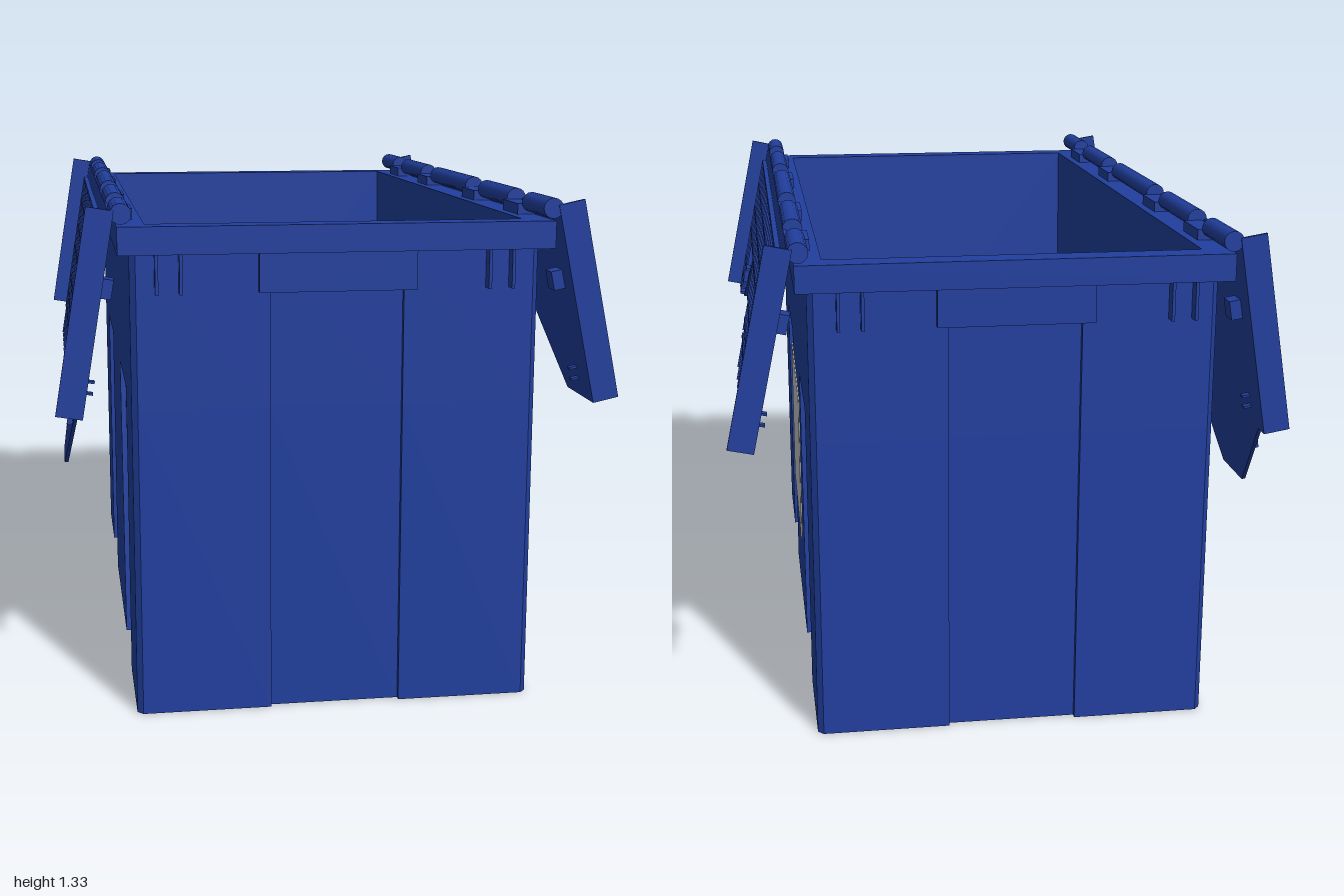
import * as THREE from 'three';

const blue = new THREE.MeshStandardMaterial({ color: 0x213f9e });
blue.name = 'blue plastic';
const grey = new THREE.MeshStandardMaterial({ color: 0xc8c8c8, side: THREE.DoubleSide });
grey.name = 'grey label';

const CX = -0.01; // body is slightly off centre

function add(parent, name, geo, x = 0, y = 0, z = 0, mat = blue) {
  const m = new THREE.Mesh(geo, mat);
  m.name = name;
  m.position.set(x, y, z);
  parent.add(m);
  return m;
}
const box = (w, h, d) => new THREE.BoxGeometry(w, h, d);
const shapeOf = pts => new THREE.Shape(pts.map(p => new THREE.Vector2(...p)));
const rectHole = (w, d) => new THREE.Path([[-w, -d], [-w, d], [w, d], [w, -d]].map(p => new THREE.Vector2(...p)));
const extrude = (shape, depth) => new THREE.ExtrudeGeometry(shape, { depth, bevelEnabled: false });
// plan shape raised along y
const raise = (shape, h) => extrude(shape, h).rotateX(-Math.PI / 2);
// (z, y) outline given a thickness centred on x = 0
const sidePlate = (pts, t) => extrude(shapeOf(pts), t).rotateY(-Math.PI / 2).translate(t / 2, 0, 0);

// One quarter of the plan, mirrored round; r is the recess of the long sides
function wallShape(r) {
  const X = 0.52, Z = 0.95, c = 0.015;
  const q = [[X - r, 0], [X - r, 0.63], [X, 0.63], [X, Z - c], [X - c, Z], [0.17, Z], [0.17, Z - 0.015]];
  const quarter = r ? q : q.slice(3);
  const rev = a => [...a].reverse();
  const pts = [
    ...quarter,
    ...rev(quarter).map(([x, z]) => [-x, z]),
    ...quarter.map(([x, z]) => [-x, -z]),
    ...rev(quarter).map(([x, z]) => [x, -z]),
  ].filter((p, i, a) => i === 0 || p[0] !== a[i - 1][0] || p[1] !== a[i - 1][1]);
  if (r) pts.pop();
  const s = shapeOf(pts);
  s.holes.push(rectHole(0.48, 0.92));
  return s;
}

function buildBody() {
  const g = new THREE.Group();
  g.name = 'body';
  g.position.x = CX;
  add(g, 'lowerWalls', raise(wallShape(0.015), 0.805));
  add(g, 'upperWalls', raise(wallShape(0), 0.4), 0, 0.805, 0);
  add(g, 'floor', box(1.0, 0.03, 1.85), 0, 0.016, 0);

  // overhanging rim
  const rim = shapeOf([[-0.55, -0.99], [0.55, -0.99], [0.55, 0.99], [-0.55, 0.99]]);
  rim.holes.push(rectHole(0.48, 0.92));
  add(g, 'rim', raise(rim, 0.07), 0, 1.2, 0);

  for (const s of [-1, 1]) {
    // sloping inside of the end walls
    const wedge = s > 0 ? [[0.92, 0.03], [0.92, 1.26], [0.87, 0.03]] : [[-0.92, 0.03], [-0.87, 0.03], [-0.92, 1.26]];
    add(g, 'innerEndSlope', sidePlate(wedge, 0.96));
    // plate and gussets under the rim
    add(g, 'endPlate', box(0.4, 0.1, 0.04), 0, 1.15, s * 0.95);
    for (const x of [-0.455, -0.395, 0.385, 0.445])
      add(g, 'rimGusset', box(0.008, 0.1, 0.035), x, 1.15, s * 0.965);
    // tapered centre panel on the long side
    add(g, 'sidePanel', sidePlate([[-0.31, 0], [0.32, 0], [0.25, 0.805], [-0.27, 0.805]], 0.015), s * 0.5125, 0, 0);
  }
  add(g, 'label', sidePlate([[0.28, 0.31], [0.23, 0.77], [-0.23, 0.71], [-0.17, 0.25]], 0.004), 0.523, 0, 0, grey);
  return g;
}

// Lower edge of a lid leaf as [z, y] points
const rightEdge = [[-0.995, 0.79], [-0.94, 0.79], [-0.73, 1.01], [-0.55, 1.01], [-0.23, 0.68], [0.06, 0.68],
  [0.38, 1.01], [0.58, 1.01], [0.79, 0.79], [0.995, 0.79]];
const leftEdge = [[-0.995, 0.79], [-0.95, 0.79], [-0.73, 0.57], [-0.56, 0.57], [-0.23, 0.9], [0.06, 0.9],
  [0.39, 0.57], [0.55, 0.57], [0.77, 0.79], [0.995, 0.79]];

function edgeAt(edge, z) {
  for (let i = 1; i < edge.length; i++) {
    const [z0, y0] = edge[i - 1], [z1, y1] = edge[i];
    if (z <= z1) return y0 + (y1 - y0) * (z - z0) / (z1 - z0);
  }
  return edge[edge.length - 1][1];
}

// A hanging lid leaf; s is the side it hangs on, its origin is the hinge line
function buildLid(s, edge, hingeX, slope) {
  const g = new THREE.Group();
  g.name = s > 0 ? 'leftLid' : 'rightLid';
  const H = 1.3;
  g.position.set(hingeX, H, 0);
  g.rotation.z = s * Math.atan(slope);
  const local = pts => pts.map(([z, y]) => [z, y - H]);

  add(g, 'lidSheet', sidePlate(local([...edge, [0.995, 1.3], [-0.995, 1.3]]), 0.01), s * 0.005, 0, 0);

  // end flanges
  for (const e of [-1, 1]) {
    add(g, 'endFlange', box(0.068, 0.52, 0.01), s * 0.034, -0.25, e * 0.993);
    add(g, 'latch', box(0.03, 0.05, 0.05), -s * 0.014, -0.19, e * 0.9);
    for (const y of [-0.43, -0.46]) add(g, 'pin', box(0.02, 0.006, 0.02), -s * 0.01, y, e * 0.9);
  }

  // upright ribs
  for (let i = -10; i <= 10; i++) {
    const z = i * 0.094, low = Math.max(edgeAt(edge, z), 0.7), h = 1.25 - low;
    add(g, 'uprightRib', box(0.016, h, 0.007), s * 0.016, low + h / 2 - H, z);
  }
  // level ribs, broken where the lower edge rises above them
  for (const y of [1.25, 1.17, 1.085, 1.012, 0.905, 0.845, 0.8]) {
    let start = null;
    for (let z = -0.95; z <= 0.9601; z += 0.01) {
      const inside = z < 0.95 && edgeAt(edge, z) < y;
      if (inside && start === null) start = z;
      if (!inside && start !== null) {
        if (z - start > 0.03) add(g, 'levelRib', box(0.016, 0.009, z - start), s * 0.016, y - H, (z + start) / 2);
        start = null;
      }
    }
  }
  return g;
}

// Hinge barrels with lower knuckles between them
function buildHinge(s) {
  const g = new THREE.Group();
  g.name = 'hinge';
  g.position.set(CX + s * 0.54, 1.302, 0);
  const cuts = [-0.995, -0.8, -0.665, -0.36, -0.225, 0.225, 0.365, 0.665, 0.805, 0.995];
  for (let i = 1; i < cuts.length; i++) {
    const d = cuts[i] - cuts[i - 1], z = (cuts[i] + cuts[i - 1]) / 2;
    if (i % 2) add(g, 'hingeBarrel', new THREE.CylinderGeometry(0.026, 0.026, d, 16).rotateX(Math.PI / 2), 0, 0, z);
    else add(g, 'hingeKnuckle', box(0.05, 0.03, d), -s * 0.012, -0.034 + 0.015, z);
  }
  return g;
}

export function createModel() {
  const root = new THREE.Group();
  root.name = 'lidded crate';
  root.add(buildBody());
  root.add(buildLid(1, rightEdge, 0.545, 0.212));
  root.add(buildLid(-1, leftEdge, -0.568, 0.168));
  root.add(buildHinge(1), buildHinge(-1));
  return root;
}
